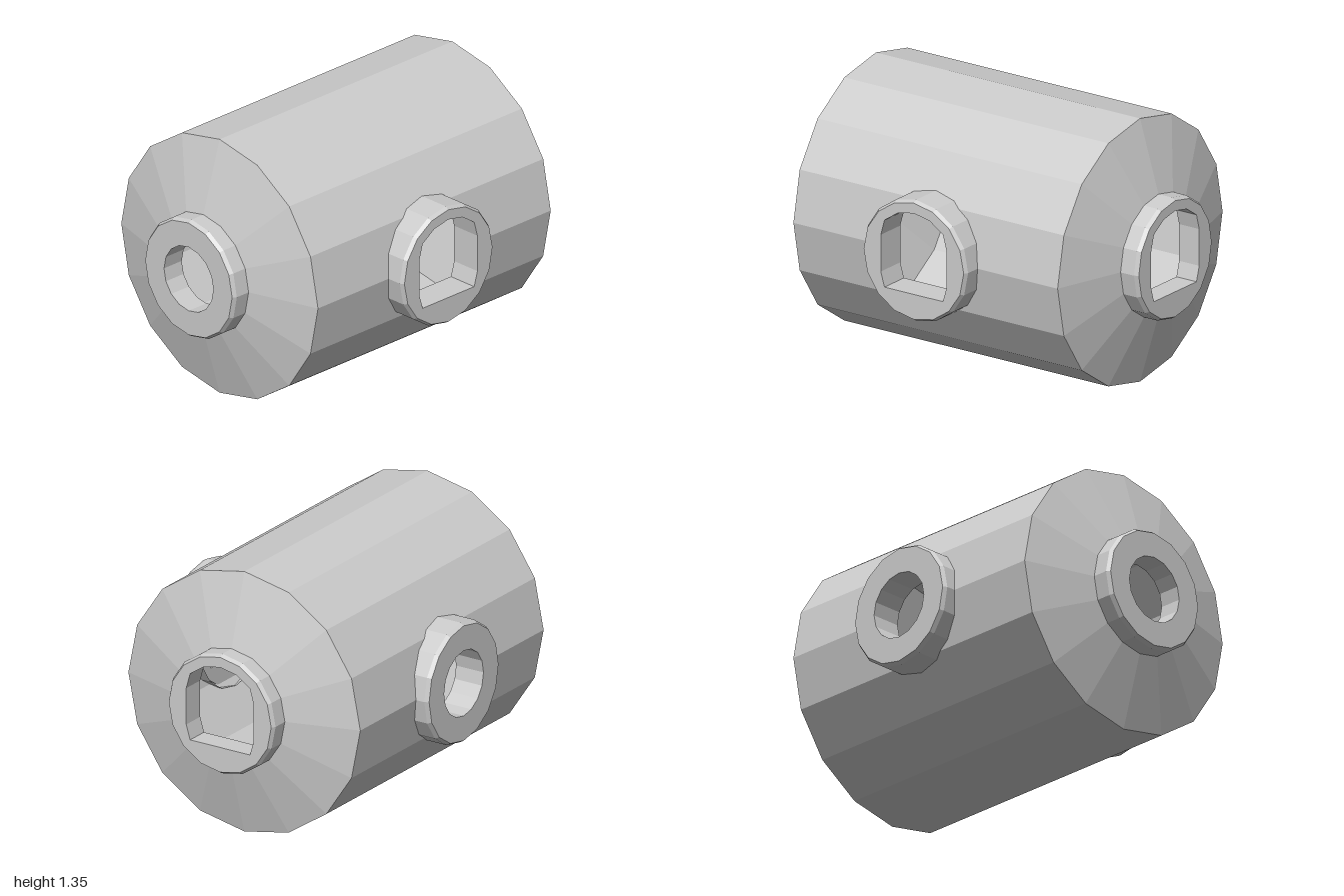
import * as THREE from 'three';

const SIDES = 16, R = 0.677, HALF = 0.79, CX = -0.014, CY = 0.678;
const COLLAR_R = 0.311, STEP = (Math.PI * 2) / SIDES;

const mat = new THREE.MeshStandardMaterial({ color: 0xcccccc, flatShading: true, side: THREE.DoubleSide });

function add(parent, name, geo) {
  const mesh = new THREE.Mesh(geo, mat);
  mesh.name = name;
  parent.add(mesh);
  return mesh;
}

// regular polygon with a corner on the x axis
function ring(r) {
  return Array.from({ length: SIDES }, (_, i) =>
    new THREE.Vector2(Math.cos(i * STEP) * r, Math.sin(i * STEP) * r));
}

// lathe turned so that its axis is z; profile is [radius, z]
function latheZ(profile) {
  const g = new THREE.LatheGeometry(profile.map(p => new THREE.Vector2(...p)), SIDES);
  return g.rotateX(Math.PI / 2);
}

// docking port pointing along +z, ending at z = tip
function createPort(name, base, tip, inner, keyed) {
  const port = new THREE.Group();
  port.name = name;
  add(port, 'collar', latheZ([[COLLAR_R, base], [COLLAR_R, tip - 0.02], [COLLAR_R - 0.012, tip]]));

  // face ring and tunnel; the keyed opening is a circle cut flat at sides and bottom
  const face = new THREE.Shape(ring(COLLAR_R - 0.012));
  const opening = keyed
    ? ring(0.247).map(p => new THREE.Vector2(THREE.MathUtils.clamp(p.x, -0.197, 0.197), Math.max(p.y, -0.17)))
      .filter((p, i, a) => !(i && p.distanceTo(a[i - 1]) < 0.001))
    : ring(0.17);
  face.holes.push(new THREE.Path(opening));
  const g = new THREE.ExtrudeGeometry(face, { depth: tip - inner, bevelEnabled: false });
  add(port, 'hatchRing', g.translate(0, 0, inner));
  return port;
}

// half of a side wall facet pair, with a half-round notch behind the port
function sidePanel() {
  const w = R * Math.sin(STEP), notch = 0.25;
  const s = new THREE.Shape();
  s.moveTo(-HALF, 0);
  for (let i = 0; i <= 8; i++) {
    const a = Math.PI - (i * Math.PI) / 8;
    s.lineTo(Math.cos(a) * notch, Math.sin(a) * notch);
  }
  s.lineTo(HALF, 0);
  s.lineTo(HALF, w);
  s.lineTo(-HALF, w);
  const g = new THREE.ShapeGeometry(s);
  const p = g.attributes.position;
  for (let i = 0; i < p.count; i++) {
    const z = p.getX(i), y = p.getY(i);
    p.setXYZ(i, R - (y / w) * R * (1 - Math.cos(STEP)), y, -z);
  }
  g.computeVertexNormals();
  return g;
}

export function createModel() {
  const model = new THREE.Group();
  model.name = 'dockingModule';

  const hull = new THREE.Group();
  hull.name = 'hull';
  hull.position.set(CX, CY, 0);
  model.add(hull);

  // upper and lower walls
  for (const [name, mid] of [['upperWall', Math.PI], ['lowerWall', 0]]) {
    const g = new THREE.CylinderGeometry(R, R, HALF * 2, 12, 1, true, mid - 6 * STEP, 12 * STEP);
    // six facets either side of the middle, leaving the port facets open
    g.dispose();
    const wall = new THREE.CylinderGeometry(R, R, HALF * 2, 6, 1, true, mid - 3 * STEP, 6 * STEP);
    add(hull, name, wall.rotateX(Math.PI / 2));
  }

  // side walls around the ports
  const panel = sidePanel();
  for (const sx of [1, -1]) for (const sy of [1, -1])
    add(hull, 'sideWall', panel).scale.set(sx, sy, 1);

  // tapered ends
  for (const s of [1, -1]) {
    const end = add(hull, s > 0 ? 'frontCone' : 'backCone', latheZ([[R, HALF], [COLLAR_R, 0.9]]));
    if (s < 0) end.rotation.y = Math.PI;
  }

  // four ports: keyed at the back and +x, round at the front and -x
  const ports = [
    ['frontPort', 0, 0.89, 1, 0.88, false, CX],
    ['backPort', Math.PI, 0.89, 1, 0.88, true, CX],
    ['leftPort', Math.PI / 2, 0.57, 0.76, 0.6, true, 0],
    ['rightPort', -Math.PI / 2, 0.57, 0.76, 0.6, false, 0],
  ];
  for (const [name, turn, base, tip, inner, keyed, x] of ports) {
    const port = createPort(name, base, tip, inner, keyed);
    port.rotation.y = turn;
    port.position.set(x, CY, 0);
    model.add(port);
  }
  return model;
}
